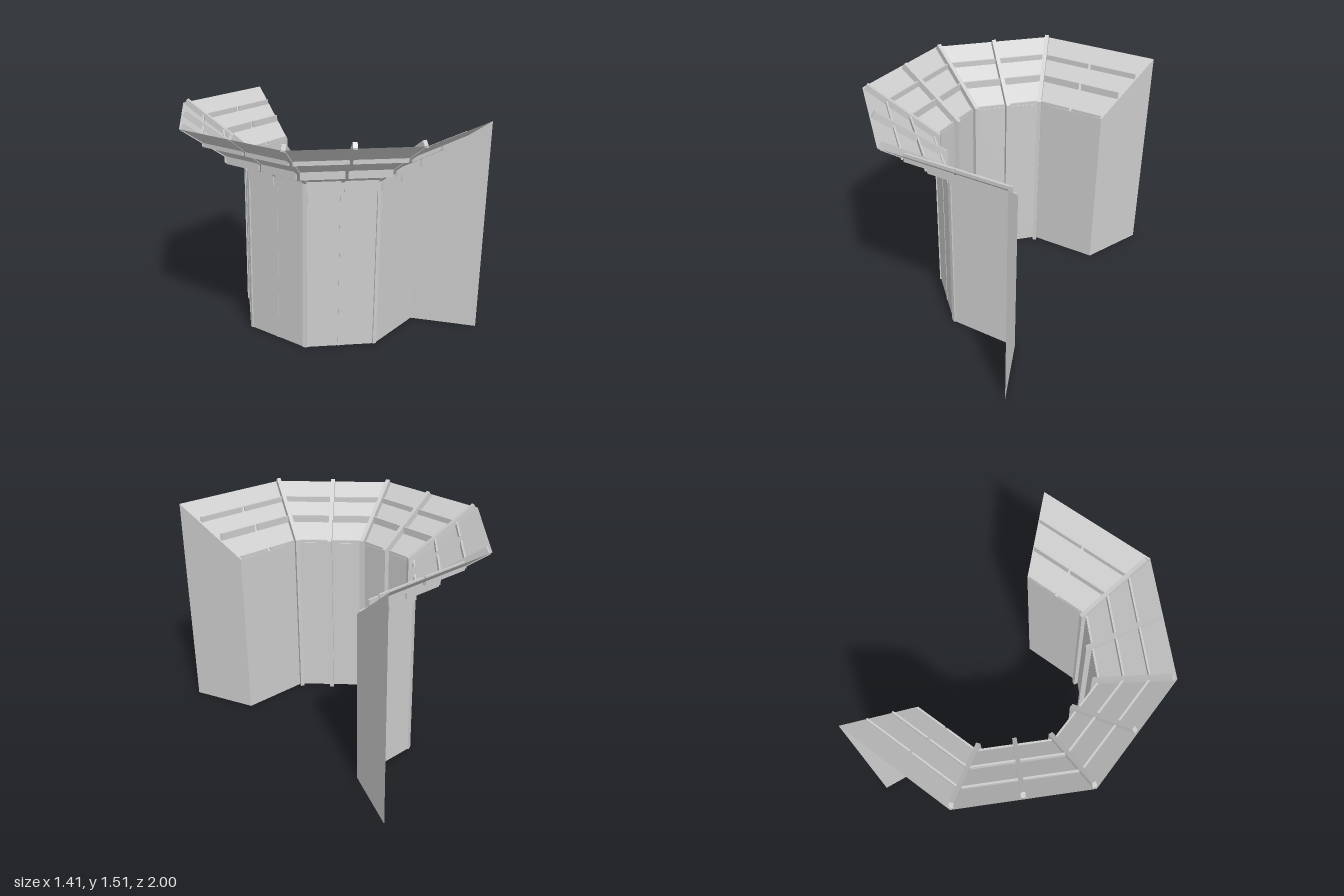
import * as THREE from 'three';

const WALL = 0.575, EAVE = 1.0;          // distance of wall and roof edge from the octagon centre
const WALL_TOP = 1.155, ROOF_TOP = 1.48;
const SLOPE = (ROOF_TOP - WALL_TOP) / (EAVE - WALL);
const HALF = Math.tan(Math.PI / 8);      // half side length per unit of distance
const CORNER = 1 / Math.cos(Math.PI / 8);

const solid = new THREE.MeshStandardMaterial({ color: 0xcccccc, flatShading: true });
const sheet = new THREE.MeshStandardMaterial({ color: 0xcccccc, flatShading: true, side: THREE.DoubleSide });
const roofY = (d) => WALL_TOP + (d - WALL) * SLOPE;

function add(parent, name, geometry, material) {
  const mesh = new THREE.Mesh(geometry, material);
  mesh.name = name;
  parent.add(mesh);
  return mesh;
}

// Flat four-cornered panel
function quad(corners) {
  const g = new THREE.BufferGeometry();
  g.setAttribute('position', new THREE.Float32BufferAttribute(corners.flat(), 3));
  g.setIndex([0, 1, 2, 0, 2, 3]);
  g.computeVertexNormals();
  return g;
}

// One octagon side facing local +z: wall, flared roof and battens
function createSide() {
  const side = new THREE.Group();
  side.name = 'side';
  const w = WALL * HALF, e = EAVE * HALF;
  add(side, 'wallPanel', quad([[-w, 0, WALL], [w, 0, WALL], [w, WALL_TOP, WALL], [-w, WALL_TOP, WALL]]), sheet);
  add(side, 'roofPanel', quad([[-w, WALL_TOP, WALL], [w, WALL_TOP, WALL], [e, ROOF_TOP, EAVE], [-e, ROOF_TOP, EAVE]]), sheet);

  // Upright battens cutting through the roof: distance, bottom, top
  for (const [d, low, high] of [[0.582, 1.09, 1.175], [0.72, 1.22, 1.31], [0.86, 1.35, 1.405]]) {
    const inner = 0.01, outer = d * HALF - 0.012;
    for (const s of [-1, 1]) {
      const batten = add(side, 'batten', new THREE.BoxGeometry(outer - inner, high - low, 0.012), solid);
      batten.position.set(s * (inner + outer) / 2, (low + high) / 2, d);
    }
  }
  return side;
}

// Post and sloping rafter cut as one bent rib; k stretches it out to a corner
function createRib(k) {
  const width = 0.028, back = 0.003, front = 0.037, lift = 0.055, end = 0.99;
  const p = (d, y) => new THREE.Vector2(d, y);
  const w = WALL * k, tip = end * k;
  const shape = new THREE.Shape([
    p(w - front, 0), p(w + back, 0), p(w + back, WALL_TOP - 0.003),
    p(tip, roofY(end) - 0.003), p(tip - 0.025, roofY(end - 0.025 / k) + lift),
    p(w - front, roofY(WALL - front / k) + lift),
  ]);
  const g = new THREE.ExtrudeGeometry(shape, { depth: width, bevelEnabled: false });
  g.translate(0, 0, -width / 2);
  g.rotateY(-Math.PI / 2);
  return g;
}

export function createModel() {
  const model = new THREE.Group();
  model.name = 'curvedShelter';
  const ring = new THREE.Group();
  ring.name = 'octagonRing';
  ring.position.x = EAVE * Math.SQRT1_2 - EAVE * HALF;
  model.add(ring);

  // Five sides of the octagon, open towards +x
  for (let i = 0; i < 5; i++) {
    const side = createSide();
    side.rotation.y = -i * Math.PI / 4;
    ring.add(side);
  }

  // Ribs alternate between corners and side centres
  for (let i = 1; i <= 7; i++) {
    const rib = add(ring, 'rib', createRib(i % 2 ? CORNER : 1), solid);
    rib.rotation.y = -i * Math.PI / 8;
  }

  // Flat end walls closing the eaves down to the floor
  const w = WALL * CORNER, e = EAVE * CORNER;
  for (const angle of [Math.PI / 8, -9 * Math.PI / 8]) {
    const wall = add(ring, 'endWall', quad([[0, 0, w], [0, 0, e], [0, ROOF_TOP, e], [0, WALL_TOP, w]]), sheet);
    wall.rotation.y = angle;
  }
  return model;
}
